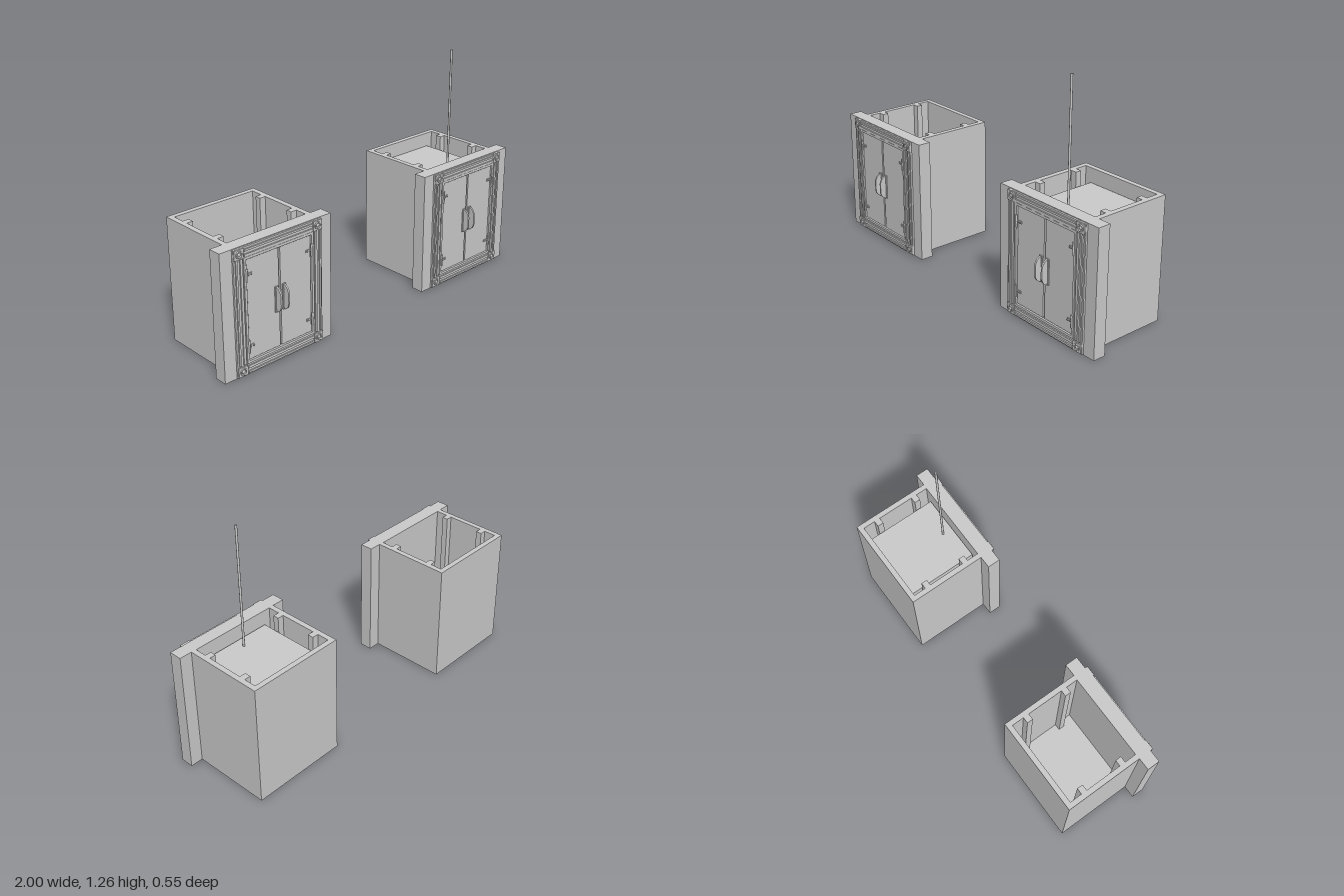
import * as THREE from 'three';

const grey = new THREE.MeshStandardMaterial({ color: 0xcccccc });

function add(parent, name, geometry, x = 0, y = 0, z = 0) {
  const mesh = new THREE.Mesh(geometry, grey);
  mesh.name = name;
  mesh.position.set(x, y, z);
  parent.add(mesh);
  return mesh;
}

const box = (w, h, d) => new THREE.BoxGeometry(w, h, d);

function rectPoints(x0, y0, x1, y1) {
  return [[x0, y0], [x1, y0], [x1, y1], [x0, y1]].map(p => new THREE.Vector2(...p));
}

// Rectangular plate with a rectangular hole, extruded along z
function plateWithHole(outer, inner, depth) {
  const shape = new THREE.Shape(rectPoints(...outer));
  shape.holes.push(new THREE.Path(rectPoints(...inner)));
  return new THREE.ExtrudeGeometry(shape, { depth, bevelEnabled: false });
}

const H = 0.667;
const OPENING = [-0.203, 0.07, 0.203, 0.607];

// Open-topped shaft with four guide ribs running up the side walls
function buildShaft(unit) {
  const shape = new THREE.Shape(rectPoints(-0.265, -0.16, 0.265, 0.275));
  const side = [[0.237, -0.155], [0.237, -0.09], [0.203, -0.09], [0.203, -0.057], [0.237, -0.057],
    [0.237, 0.147], [0.203, 0.147], [0.203, 0.18], [0.237, 0.18], [0.237, 0.247]];
  const mirrored = side.map(([x, y]) => [-x, y]).reverse();
  shape.holes.push(new THREE.Path([...side, ...mirrored].map(p => new THREE.Vector2(...p))));
  const walls = new THREE.ExtrudeGeometry(shape, { depth: H, bevelEnabled: false });
  walls.rotateX(-Math.PI / 2);
  add(unit, 'shaftWalls', walls);
  add(unit, 'shaftFloor', box(0.53, 0.02, 0.435), 0, 0.01, -0.0575);
}

// Casing around the doorway: moulded strips and corner rosettes
function buildFrame(unit) {
  const frame = new THREE.Group();
  frame.name = 'doorFrame';
  unit.add(frame);
  add(frame, 'casing', plateWithHole([-0.265, 0.004, 0.265, 0.663], OPENING, 0.01), 0, 0, 0.227);
  add(frame, 'innerTrim', plateWithHole([-0.21, 0.064, 0.21, 0.613], [-0.197, 0.077, 0.197, 0.6], 0.016), 0, 0, 0.227);
  for (const s of [-1, 1]) {
    for (const [offset, width] of [[-0.015, 0.01], [0.012, 0.014]]) {
      add(frame, 'sideMoulding', box(width, 0.545, 0.008), s * (0.236 - offset), 0.3385, 0.24);
      add(frame, 'crossMoulding', box(0.41, width, 0.008), 0, 0.3335 + s * (0.3 - offset), 0.24);
    }
    for (const y of [0.034, 0.637]) {
      add(frame, 'cornerBlock', box(0.054, 0.05, 0.008), s * 0.236, y, 0.239);
      const ring = new THREE.TorusGeometry(0.015, 0.004, 8, 24);
      add(frame, 'rosetteRing', ring, s * 0.236, y, 0.243);
      const boss = new THREE.SphereGeometry(0.009, 16, 8);
      boss.scale(1, 1, 0.5);
      add(frame, 'rosetteBoss', boss, s * 0.236, y, 0.243);
    }
  }
}

// Bowed pull handle profile, in the z-y plane, extruded across x
function handleGeometry() {
  const shape = new THREE.Shape();
  shape.moveTo(0, -0.066);
  shape.bezierCurveTo(0.018, -0.062, 0.032, -0.045, 0.034, -0.025);
  shape.lineTo(0.034, 0.025);
  shape.bezierCurveTo(0.032, 0.045, 0.018, 0.062, 0, 0.066);
  const geometry = new THREE.ExtrudeGeometry(shape, { depth: 0.009, bevelEnabled: false, curveSegments: 8 });
  geometry.translate(0, 0, -0.0045);
  geometry.rotateY(-Math.PI / 2);
  return geometry;
}

// Pair of leaves with hinges and handles
function buildDoors(unit) {
  for (const s of [-1, 1]) {
    const door = new THREE.Group();
    door.name = s > 0 ? 'leftDoor' : 'rightDoor';
    unit.add(door);
    add(door, 'leaf', box(0.187, 0.515, 0.016), s * 0.0985, 0.3385, 0.229);
    add(door, 'handlePlate', box(0.019, 0.135, 0.006), s * 0.023, 0.336, 0.24);
    add(door, 'handle', handleGeometry(), s * 0.023, 0.336, 0.243);
    for (const y of [0.15, 0.52]) {
      add(door, 'hingePin', new THREE.CylinderGeometry(0.005, 0.005, 0.065, 12), s * 0.196, y, 0.243);
      add(door, 'hingeLeaf', box(0.03, 0.014, 0.004), s * 0.178, y, 0.239);
      for (const dx of [0.17, 0.186]) {
        add(door, 'hingeScrew', new THREE.SphereGeometry(0.004, 8, 6), s * dx, y, 0.243);
      }
    }
  }
  add(unit, 'doorStop', box(0.012, 0.515, 0.006), 0, 0.3385, 0.221);
}

function buildUnit(name, x) {
  const unit = new THREE.Group();
  unit.name = name;
  unit.position.x = x;
  buildShaft(unit);
  add(unit, 'frontWall', plateWithHole([-0.333, 0, 0.333, H], OPENING, 0.07), 0, 0, 0.157);
  buildFrame(unit);
  buildDoors(unit);
  return unit;
}

export function createModel() {
  const model = new THREE.Group();
  model.name = 'liftShafts';
  const empty = buildUnit('emptyShaft', -0.667);
  const occupied = buildUnit('occupiedShaft', 0.667);
  model.add(empty, occupied);

  // Cabin hanging on its cable
  add(occupied, 'cabin', box(0.39, 0.53, 0.39), 0, 0.325, -0.047);
  add(occupied, 'cable', new THREE.CylinderGeometry(0.006, 0.006, 0.675, 12), -0.003, 0.9245, 0.092);
  return model;
}
